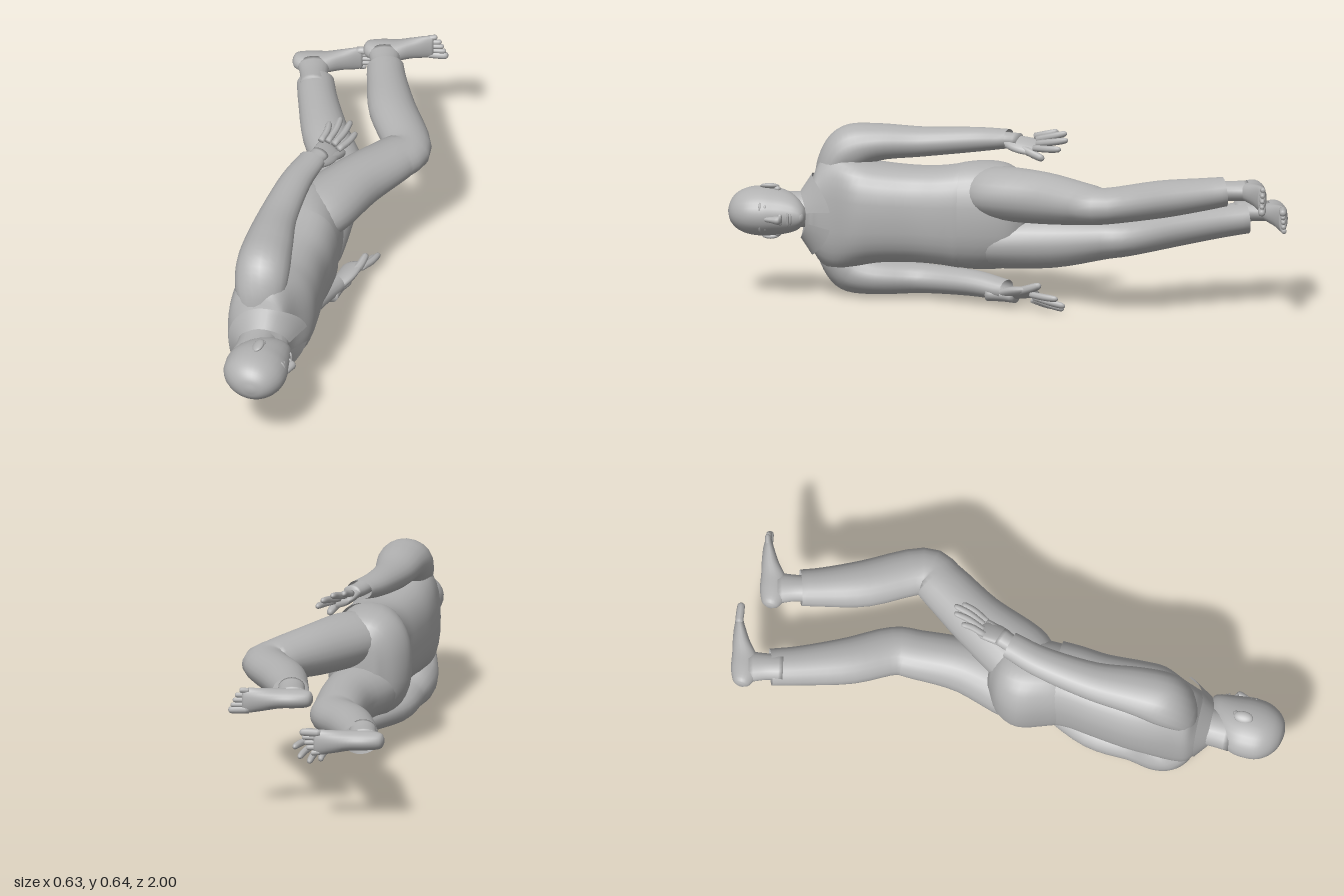
import * as THREE from 'three';

const fabricGrey = new THREE.MeshStandardMaterial({ color: 0xb2b2b2, side: THREE.DoubleSide });
fabricGrey.name = 'plain grey';

const V = (x, y, z) => new THREE.Vector3(x, y, z);

function mesh(name, geometry, parent) {
  const m = new THREE.Mesh(geometry, fabricGrey);
  m.name = name;
  parent.add(m);
  return m;
}

// Lofted body part: sections are [x, y, z, radius in the xz plane, radius along y]
function loft(name, sections, parent, { sides = 20, rows = 4, axis = null, square = 1, capStart = true, capEnd = true } = {}) {
  const path = new THREE.CatmullRomCurve3(sections.map(s => V(s[0], s[1], s[2])), false, 'catmullrom', 0.5);
  const radii = new THREE.CatmullRomCurve3(sections.map(s => V(s[3], s[4], 0)), false, 'catmullrom', 0.5);
  const n = (sections.length - 1) * rows;
  const pos = [], idx = [];
  const bend = a => Math.sign(a) * Math.pow(Math.abs(a), square);
  for (let i = 0; i <= n; i++) {
    const c = path.getPoint(i / n), r = radii.getPoint(i / n);
    const t = axis ? axis.clone() : path.getTangent(i / n);
    const u = V(0, 1, 0).cross(t).normalize();
    const v = t.clone().cross(u);
    for (let j = 0; j < sides; j++) {
      const a = j / sides * Math.PI * 2;
      const p = c.clone().addScaledVector(u, bend(Math.cos(a)) * r.x).addScaledVector(v, bend(Math.sin(a)) * r.y);
      pos.push(p.x, p.y, p.z);
    }
  }
  for (let i = 0; i < n; i++) for (let j = 0; j < sides; j++) {
    const k = (j + 1) % sides, a = i * sides + j, b = i * sides + k;
    idx.push(a, b, a + sides, b, b + sides, a + sides);
  }
  const cap = (row, point, flip) => {
    const centre = pos.length / 3;
    pos.push(point.x, point.y, point.z);
    for (let j = 0; j < sides; j++) {
      const a = row * sides + j, b = row * sides + (j + 1) % sides;
      idx.push(centre, flip ? b : a, flip ? a : b);
    }
  };
  if (capStart) cap(0, path.getPoint(0), true);
  if (capEnd) cap(n, path.getPoint(1), false);
  const g = new THREE.BufferGeometry();
  g.setAttribute('position', new THREE.Float32BufferAttribute(pos, 3));
  g.setIndex(idx);
  g.computeVertexNormals();
  return mesh(name, g, parent);
}

function ball(name, x, y, z, rx, ry, rz, parent) {
  const m = mesh(name, new THREE.SphereGeometry(1, 16, 12), parent);
  m.position.set(x, y, z);
  m.scale.set(rx, ry, rz);
  return m;
}

// Thin rounded digit from a to b
function digit(name, a, b, r, parent, lift = 0) {
  const at = f => a.map((v, i) => v + (b[i] - v) * f);
  const mid = at(0.5);
  mid[0] += lift;
  loft(name, [[...a, r, r], [...mid, r * 1.05, r * 1.05], [...at(0.9), r * 0.9, r * 0.9], [...b, r * 0.35, r * 0.35]],
    parent, { sides: 8, rows: 3 });
}

// Hand around the wrist origin, fingers along -z, thumb toward -y
function hand(name, parent, side, x, y) {
  const g = new THREE.Group();
  g.name = name;
  g.position.set(x, y, 0);
  parent.add(g);
  const P = (a, b, c) => [a, b * side, c];
  loft('wrist', [[-0.01, 0, 0.06, 0.034, 0.027], [0.004, 0, 0, 0.032, 0.025], [0.02, 0.003 * side, -0.045, 0.033, 0.023]], g);
  const palm = loft('palm', [[0, 0, 0.03, 0.02, 0.012], [0.008, 0, 0, 0.032, 0.018], [0.03, 0, -0.05, 0.044, 0.02],
    [0.043, 0, -0.1, 0.045, 0.016], [0.048, 0, -0.12, 0.034, 0.009]], g);
  palm.rotation.z = -0.45 * side;
  const knuckles = [[0.008, 0.015, -0.1], [0.03, 0.008, -0.11], [0.052, -0.003, -0.113], [0.07, -0.016, -0.105]];
  const tips = [[0.022, 0.037, -0.185], [0.056, 0.038, -0.22], [0.09, 0.02, -0.228], [0.114, -0.01, -0.205]];
  knuckles.forEach((k, i) => digit('finger', P(...k), P(...tips[i]), 0.012, g, 0.005));
  digit('thumb', P(0.028, -0.01, -0.03), P(0.085, -0.053, -0.14), 0.015, g, 0.008);
}

// Bare foot with toes along +x and sole toward -z; side points to the little toe
function foot(name, parent, side, x, y, z) {
  const g = new THREE.Group();
  g.name = name;
  g.position.set(x, y, z);
  parent.add(g);
  loft('ankle', [[0.055, 0, 0.07, 0.048, 0.038], [0.043, 0, 0.01, 0.049, 0.035], [0.028, 0, -0.05, 0.058, 0.036]], g);
  loft('footBody', [[-0.048, 0, -0.06, 0.012, 0.012], [-0.035, 0, -0.06, 0.032, 0.028], [0.01, 0, -0.06, 0.05, 0.034],
    [0.065, 0, -0.071, 0.048, 0.035], [0.12, 0, -0.098, 0.032, 0.041], [0.165, 0, -0.115, 0.021, 0.046],
    [0.192, 0, -0.122, 0.013, 0.043]], g, { axis: V(1, 0, 0) });
  for (let i = 0; i < 5; i++) {
    const ty = (-0.034 + i * 0.0175) * side, r = i ? 0.0095 : 0.014;
    digit('toe', [0.17, ty, -0.12], [0.243 - i * 0.008 - (i > 3 ? 0.008 : 0), ty * 1.08, -0.129], r, g);
  }
}

function buildHead(parent) {
  const pivot = new THREE.Group();
  pivot.name = 'head';
  pivot.position.set(-0.04, 0.323, 0);
  pivot.rotation.z = -0.1;
  parent.add(pivot);
  const down = V(0, 0, -1);
  loft('skull', [[0.01, 0, 1, 0.012, 0.01], [0.008, 0, 0.99, 0.05, 0.04], [0.005, 0, 0.965, 0.083, 0.066],
    [0.003, 0, 0.925, 0.107, 0.082], [0.004, 0, 0.875, 0.113, 0.087], [0.006, 0, 0.83, 0.107, 0.083],
    [0.018, 0, 0.785, 0.09, 0.073], [0.037, 0, 0.75, 0.066, 0.056], [0.05, 0, 0.728, 0.045, 0.034],
    [0.05, 0, 0.718, 0.02, 0.015]], pivot, { axis: down, sides: 28 });
  loft('neck', [[-0.02, 0, 0.82, 0.08, 0.062], [-0.025, 0, 0.74, 0.07, 0.063], [-0.03, 0, 0.64, 0.075, 0.072]], pivot, { axis: down });
  // Nose, lips and chin
  loft('nose', [[0.107, 0, 0.868, 0.006, 0.008], [0.114, 0, 0.835, 0.012, 0.011], [0.118, 0, 0.808, 0.016, 0.016],
    [0.11, 0, 0.796, 0.008, 0.012]], pivot, { axis: down, sides: 12 });
  ball('upperLip', 0.105, 0, 0.776, 0.008, 0.026, 0.005, pivot);
  ball('lowerLip', 0.101, 0, 0.767, 0.009, 0.022, 0.006, pivot);
  ball('chin', 0.08, 0, 0.738, 0.02, 0.024, 0.018, pivot);
  for (const s of [-1, 1]) {
    ball('nostril', 0.108, s * 0.013, 0.803, 0.01, 0.008, 0.008, pivot);
    ball('eye', 0.095, s * 0.034, 0.858, 0.01, 0.015, 0.008, pivot);
    ball('brow', 0.096, s * 0.035, 0.877, 0.012, 0.022, 0.006, pivot).rotation.z = s * 0.35;
    const ear = ball('ear', -0.003, s * 0.089, 0.852, 0.022, 0.011, 0.035, pivot);
    ear.rotation.z = s * 0.5;
    ball('earLobe', 0.008, s * 0.084, 0.824, 0.01, 0.009, 0.012, pivot);
  }
}

// Turned-down collar, open at the throat with two points
function buildCollar(parent) {
  const g = new THREE.PlaneGeometry(1, 1, 36, 4), p = g.attributes.position;
  for (let i = 0; i < p.count; i++) {
    const a = 0.22 + (p.getX(i) + 0.5) * (Math.PI * 2 - 0.44), f = 0.5 - p.getY(i);
    const front = Math.pow(Math.max(0, Math.cos(a)), 2);
    p.setXYZ(i, -0.042 + Math.cos(a) * (0.09 + 0.046 * f), 0.315 + Math.sin(a) * (0.085 + 0.062 * f),
      0.742 - 0.03 * front - f * (0.04 + 0.055 * front));
  }
  g.computeVertexNormals();
  mesh('collar', g, parent);
}

export function createModel() {
  const model = new THREE.Group();
  model.name = 'lyingFigure';
  const down = V(0, 0, -1);
  buildHead(model);
  buildCollar(model);

  // Shirt body and trouser seat
  loft('shirt', [[-0.06, 0.32, 0.72, 0.08, 0.085], [-0.065, 0.32, 0.698, 0.103, 0.135], [-0.075, 0.325, 0.67, 0.112, 0.19],
    [-0.07, 0.327, 0.62, 0.122, 0.215], [-0.053, 0.327, 0.54, 0.145, 0.195], [-0.05, 0.327, 0.45, 0.147, 0.178],
    [-0.045, 0.325, 0.33, 0.137, 0.172], [-0.035, 0.325, 0.24, 0.134, 0.176], [-0.035, 0.325, 0.165, 0.135, 0.186]],
    model, { axis: down, sides: 32, square: 0.78, capEnd: false });
  loft('trouserSeat', [[-0.037, 0.325, 0.23, 0.12, 0.165], [-0.045, 0.325, 0.16, 0.137, 0.188], [-0.06, 0.325, 0.06, 0.15, 0.193],
    [-0.05, 0.325, -0.02, 0.125, 0.175], [-0.03, 0.325, -0.07, 0.07, 0.11]], model, { axis: down, sides: 32, square: 0.83 });

  // Sleeves, sweeping out of the shirt over the shoulder
  const upperArm = (y, dx) => [[-0.07 + dx, y(0.41), 0.66, 0.075, 0.04], [-0.078 + dx, y(0.5), 0.622, 0.092, 0.066],
    [-0.082 + dx, y(0.548), 0.565, 0.097, 0.086], [-0.085, y(0.573), 0.47, 0.088, 0.066], [-0.088, y(0.578), 0.31, 0.07, 0.053]];
  const sleeve = { capEnd: false, rows: 5 };
  loft('upperSleeve', [...upperArm(y => y, 0), [-0.068, 0.595, 0.12, 0.057, 0.044], [-0.035, 0.608, -0.005, 0.049, 0.034]], model, sleeve);
  loft('lowerSleeve', [...upperArm(y => 0.66 - y, -0.015), [-0.012, 0.085, 0.12, 0.06, 0.046], [0.042, 0.073, -0.005, 0.05, 0.038]],
    model, sleeve);
  hand('upperHand', model, 1, -0.034, 0.607);
  hand('lowerHand', model, -1, 0.05, 0.06);

  // Trouser legs, bent at the knee and open at the cuff
  const leg = { capEnd: false, sides: 24 };
  loft('upperTrouserLeg', [[-0.04, 0.415, 0.1, 0.1, 0.08], [0.005, 0.418, 0.02, 0.122, 0.095], [0.092, 0.422, -0.15, 0.102, 0.092],
    [0.188, 0.425, -0.3, 0.092, 0.075], [0.225, 0.427, -0.385, 0.086, 0.064], [0.128, 0.437, -0.57, 0.085, 0.066],
    [0.075, 0.447, -0.71, 0.072, 0.058], [0.05, 0.455, -0.79, 0.066, 0.052]], model, leg);
  loft('lowerTrouserLeg', [[-0.05, 0.24, 0.1, 0.11, 0.09], [-0.045, 0.238, 0.02, 0.128, 0.1], [-0.02, 0.243, -0.17, 0.1, 0.094],
    [-0.027, 0.257, -0.34, 0.09, 0.076], [-0.036, 0.263, -0.43, 0.088, 0.068], [-0.115, 0.281, -0.57, 0.085, 0.068],
    [-0.18, 0.297, -0.73, 0.072, 0.06], [-0.215, 0.306, -0.835, 0.067, 0.055]], model, leg);
  foot('upperFoot', model, 1, 0, 0.456, -0.82);
  foot('lowerFoot', model, -1, -0.268, 0.328, -0.86);
  return model;
}
